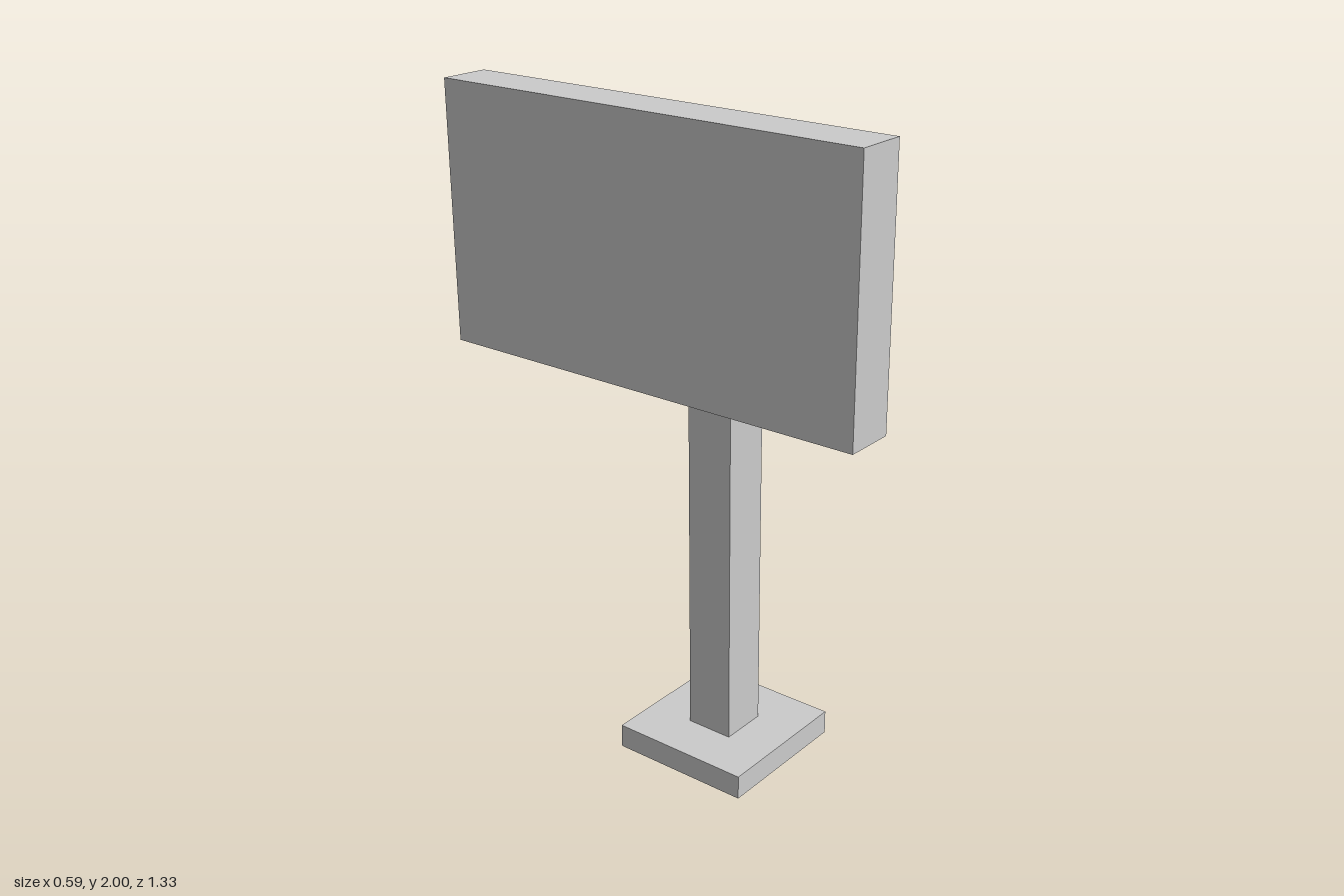
import * as THREE from 'three';

// The whole sign is laid out on a 27-unit-high grid
const U = 2 / 27;

const material = new THREE.MeshStandardMaterial({
  color: 0xcccccc, flatShading: true, side: THREE.DoubleSide,
});

function part(name, geometry) {
  const mesh = new THREE.Mesh(geometry, material);
  mesh.name = name;
  return mesh;
}

// Remove the triangles lying flat in the plane axis = value
function openAt(geometry, axis, value) {
  const geo = geometry.index ? geometry.toNonIndexed() : geometry;
  const p = geo.attributes.position.array;
  const kept = [];
  for (let i = 0; i < p.length; i += 9) {
    const flat = [0, 3, 6].every((k) => Math.abs(p[i + k + axis] - value) < 1e-4);
    if (!flat) kept.push(...p.slice(i, i + 9));
  }
  const out = new THREE.BufferGeometry();
  out.setAttribute('position', new THREE.Float32BufferAttribute(kept, 3));
  out.computeVertexNormals();
  return out;
}

function box(x0, x1, y0, y1, z) {
  return new THREE.BoxGeometry((x1 - x0) * U, (y1 - y0) * U, 2 * z * U)
    .translate((x0 + x1) / 2 * U, (y0 + y1) / 2 * U, 0);
}

const points = (list) => list.map(([x, y]) => new THREE.Vector2(x * U, y * U));

export function createModel() {
  const group = new THREE.Group();
  group.name = 'signpost';

  // Sign board, facing sideways
  group.add(part('signBoard', box(-4, -2, 17, 27, 9)));

  // Hollow post with its arm, open under the foot and where it meets the board
  const profile = new THREE.Shape(points([[0, 1], [2, 1], [2, 23], [-2, 23], [-2, 21], [0, 21]]));
  const post = new THREE.ExtrudeGeometry(profile, { depth: 2 * U, bevelEnabled: false })
    .translate(0, 0, -U);
  group.add(part('postAndArm', openAt(openAt(post, 1, U), 0, -2 * U)));

  // Base: a hollow foot with an open underside
  const base = new THREE.Group();
  base.name = 'base';
  const skirt = openAt(openAt(box(-2, 4, 0, 1, 3), 1, 0), 1, U);
  base.add(part('baseSkirt', skirt));

  // Top plate, cut out where the hollow post stands
  const plate = new THREE.Shape(points([[-2, -3], [4, -3], [4, 3], [-2, 3]]));
  plate.holes.push(new THREE.Path(points([[0, -1], [0, 1], [2, 1], [2, -1]])));
  base.add(part('baseTop', new THREE.ShapeGeometry(plate).rotateX(-Math.PI / 2).translate(0, U, 0)));
  group.add(base);

  return group;
}
